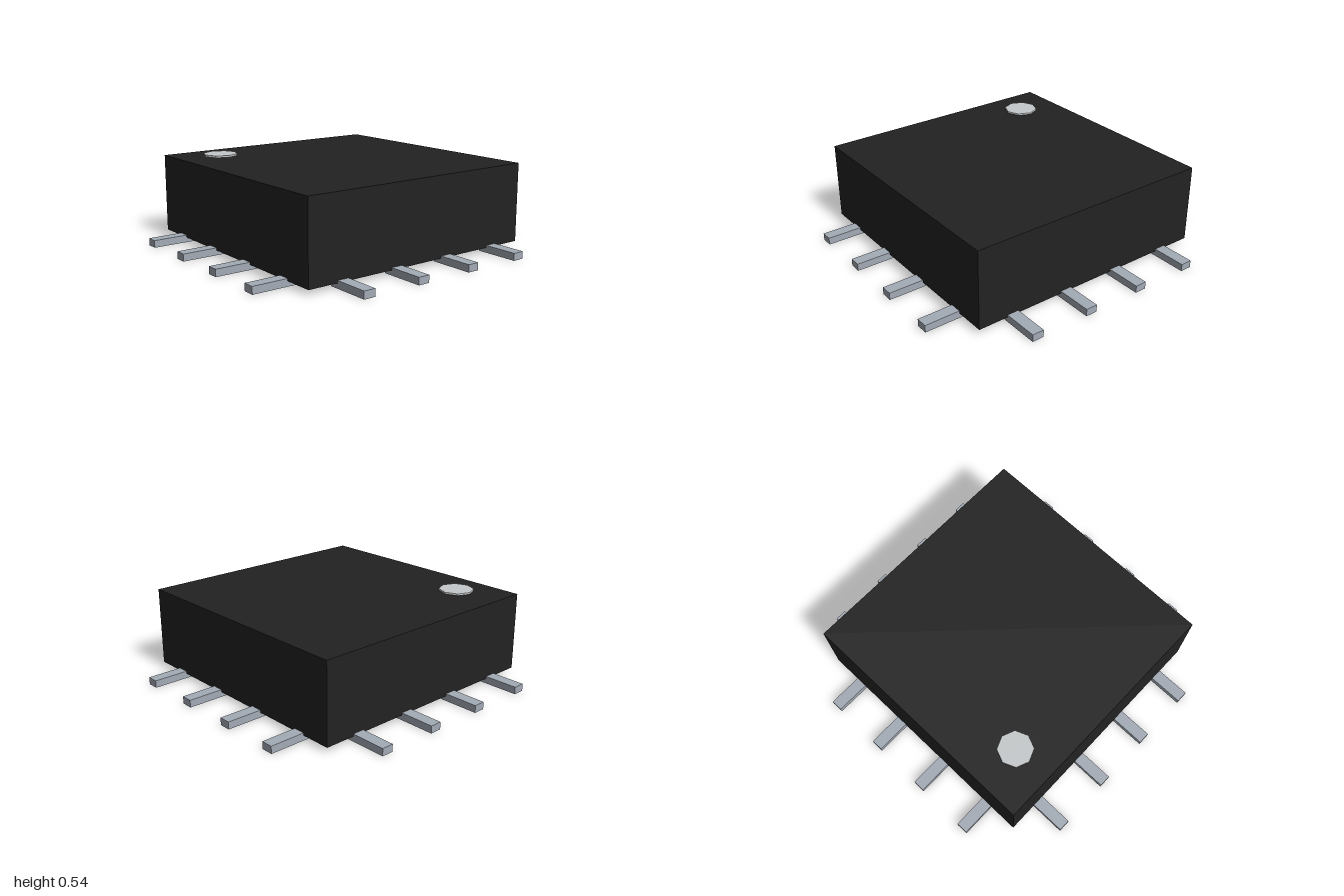
import * as THREE from 'three';

export function createModel() {
  const model = new THREE.Group();
  model.name = 'chipPackage';

  const material = (name, color) => {
    const m = new THREE.MeshStandardMaterial({ color, flatShading: true });
    m.name = name;
    return m;
  };
  const black = material('black casing', 0x222222);
  const metal = material('grey metal', 0xa3abb5);
  const pale = material('pale grey', 0xc6c9cb);

  const add = (name, geometry, mat, x, y, z, parent = model) => {
    const mesh = new THREE.Mesh(geometry, mat);
    mesh.name = name;
    mesh.position.set(x, y, z);
    parent.add(mesh);
    return mesh;
  };

  // Square casing, raised slightly so the leads sit on the ground
  const bottom = 0.03, top = 0.517, side = 1.564;
  add('casing', new THREE.BoxGeometry(side, top - bottom, side), black, 0, (top + bottom) / 2, 0);

  // Octagonal orientation dot hovering just above the rear right corner
  add('orientationDot', new THREE.CylinderGeometry(0.107, 0.107, 0.012, 8), pale, -0.535, 0.534, -0.505);

  // Four flat leads per side, with inner ends tucked under the casing
  const inner = 0.725, outer = 1, spacing = 0.373;
  const leadGeometry = new THREE.BoxGeometry(0.073, 0.045, outer - inner);
  ['front', 'left', 'back', 'right'].forEach((sideName, s) => {
    const row = new THREE.Group();
    row.name = `${sideName}Leads`;
    row.rotation.y = s * Math.PI / 2;
    for (let i = 0; i < 4; i++) {
      add('lead', leadGeometry, metal, (i - 1.5) * spacing, 0.0225, (inner + outer) / 2, row);
    }
    model.add(row);
  });

  return model;
}
